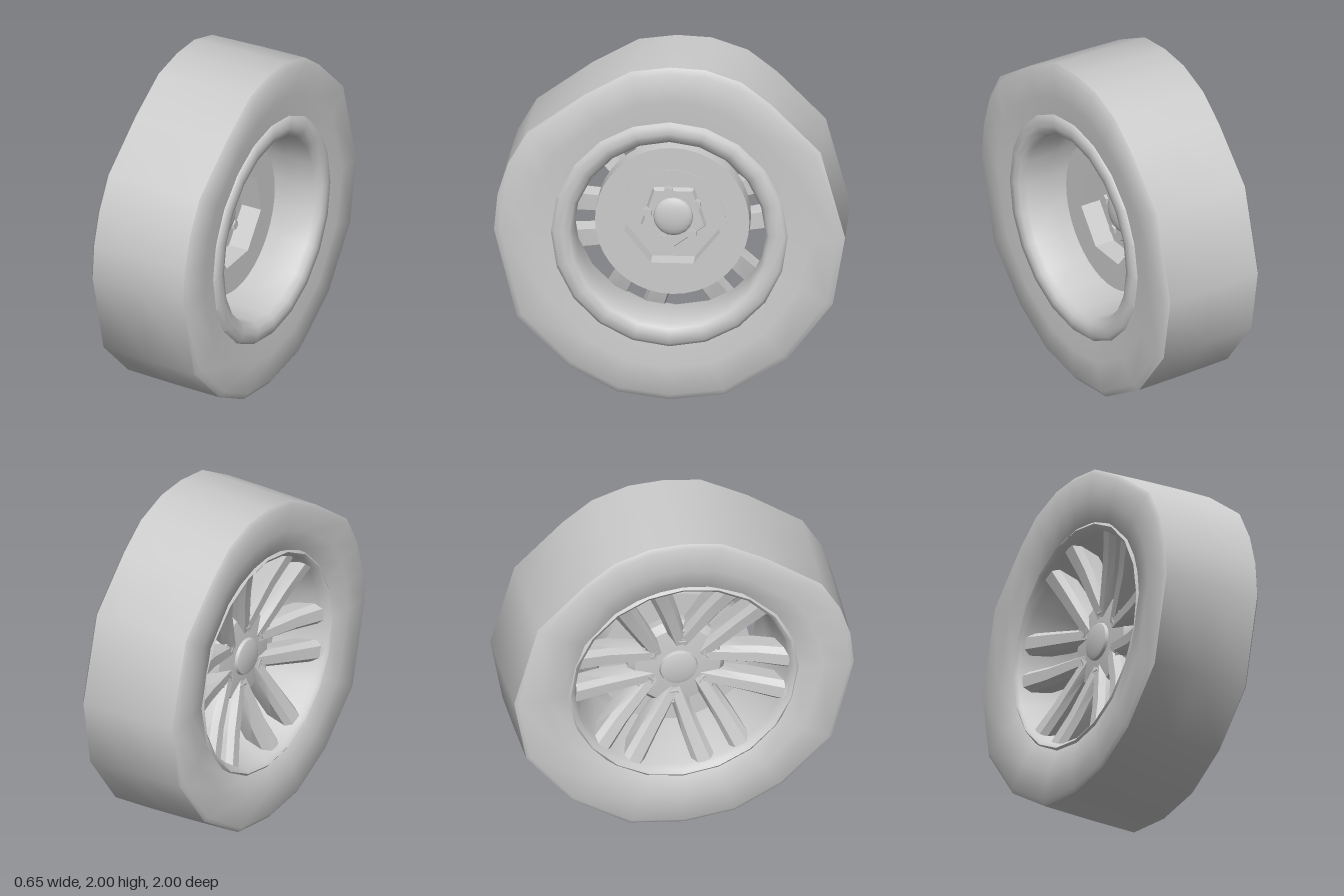
import * as THREE from 'three';
import { toCreasedNormals } from 'three/addons/utils/BufferGeometryUtils.js';

const grey = new THREE.MeshStandardMaterial({ color: 0xcccccc, side: THREE.DoubleSide });

// The wheel is built around the z axis (hub back towards +z, spoke face towards -z), then turned.
function part(parent, name, geometry) {
  const mesh = new THREE.Mesh(geometry, grey);
  mesh.name = name;
  parent.add(mesh);
  return mesh;
}

// Skin through closed rings of [x, y, z] points
function loft(rings, crease) {
  const n = rings[0].length;
  const index = [];
  for (let i = 0; i < rings.length - 1; i++) {
    for (let j = 0; j < n; j++) {
      const k = (j + 1) % n;
      const a = i * n + j, b = i * n + k, c = a + n, d = b + n;
      index.push(a, b, d, a, d, c);
    }
  }
  const g = new THREE.BufferGeometry();
  g.setAttribute('position', new THREE.Float32BufferAttribute(rings.flat(2), 3));
  g.setIndex(index);
  return toCreasedNormals(g, crease);
}

// Turned part from [radius, z] points
function turned(points, sides, crease = 0.7) {
  const g = new THREE.LatheGeometry(points.map(([r, z]) => new THREE.Vector2(r, z)), sides);
  g.rotateX(Math.PI / 2);
  return toCreasedNormals(g, crease);
}

// Flat ring with a round or polygonal hole
function plate(outer, inner, holeSides, z0, z1, turn = 0) {
  const shape = new THREE.Shape().absarc(0, 0, outer, 0, Math.PI * 2);
  const corners = [];
  for (let i = 0; i < holeSides; i++) {
    const a = turn - (i / holeSides) * Math.PI * 2;
    corners.push(new THREE.Vector2(Math.cos(a) * inner, Math.sin(a) * inner));
  }
  shape.holes.push(new THREE.Path(corners));
  const g = new THREE.ExtrudeGeometry(shape, { depth: z1 - z0, bevelEnabled: false, curveSegments: 20 });
  return toCreasedNormals(g.translate(0, 0, z0), 0.5);
}

function prism(radius, sides, z0, z1, topRadius = radius) {
  const g = new THREE.CylinderGeometry(topRadius, radius, z1 - z0, sides);
  g.rotateX(Math.PI / 2).translate(0, 0, (z0 + z1) / 2);
  return toCreasedNormals(g, 0.4);
}

export function createModel() {
  const model = new THREE.Group();
  model.name = 'wheel';
  const wheel = new THREE.Group();
  wheel.name = 'wheelAssembly';
  wheel.rotation.y = Math.PI / 2;
  wheel.position.y = 1;
  model.add(wheel);

  // Tyre: uneven faceted outline, blended to a circle towards the rim
  const outline = [
    [1, 0], [0.86, 0.51], [0.58, 0.79], [0.41, 0.92], [0.2, 0.99], [0, 1], [-0.22, 0.97],
    [-0.49, 0.82], [-0.81, 0.59], [-0.92, 0.4], [-0.98, 0.21], [-1, 0], [-0.87, -0.52],
    [-0.58, -0.81], [-0.3, -0.96], [0, -1], [0.32, -0.96], [0.67, -0.74], [0.93, -0.4],
  ];
  // [radius, z, share of the uneven outline]
  const tyreProfile = [
    [0.64, -0.27, 0], [0.675, -0.3, 0], [0.8, -0.32, 0.5], [0.96, -0.325, 1], [0.985, -0.308, 1],
    [0.995, 0, 1], [1, 0.29, 1], [0.965, 0.314, 1], [0.8, 0.314, 0.5], [0.64, 0.3, 0],
  ];
  part(wheel, 'tyre', loft(tyreProfile.map(([r, z, share]) => outline.map(([x, y]) => {
    const length = Math.hypot(x, y);
    const k = (r * (1 + (length - 1) * share)) / length;
    return [x * k, y * k, z];
  })), 0.9));

  // Rim: rolled inner lip, barrel, thin outer flange
  part(wheel, 'rim', turned([
    [0.675, 0.28], [0.675, 0.305], [0.655, 0.322], [0.61, 0.325], [0.57, 0.315], [0.548, 0.28],
    [0.55, 0.1], [0.575, -0.1], [0.62, -0.25], [0.635, -0.29], [0.655, -0.305], [0.675, -0.29],
  ], 20, 0.9));

  // Spoke: cross-sections along its length as [distance, offset, half width, face z, back z]
  const spokeSections = [
    [0.1, 0.07, 0.045, -0.14, -0.05], [0.25, 0.085, 0.05, -0.175, -0.05],
    [0.43, 0.103, 0.058, -0.215, -0.07], [0.61, 0.115, 0.066, -0.27, -0.13],
  ];
  const spokeGeometry = (side) => loft(spokeSections.map(([u, offset, w, face, back]) => [
    [-0.8 * w, back], [0.8 * w, back], [w, face + 0.035],
    [0.55 * w, face], [-0.55 * w, face], [-w, face + 0.035],
  ].map(([t, z]) => [side * offset + t, u, z])), 0.7);
  const spokes = [spokeGeometry(-1), spokeGeometry(1)];

  // Six pairs of parallel spokes with a recessed wheel nut between each two pairs
  for (let i = 0; i < 6; i++) {
    const angle = THREE.MathUtils.degToRad(7.5 + i * 60);
    const pair = new THREE.Group();
    pair.name = 'spokePair';
    pair.rotation.z = angle - Math.PI / 2;
    spokes.forEach((g) => part(pair, 'spoke', g));
    wheel.add(pair);

    const lug = new THREE.Group();
    lug.name = 'wheelNut';
    lug.position.set(Math.cos(angle + Math.PI / 6) * 0.21, Math.sin(angle + Math.PI / 6) * 0.21, -0.145);
    part(lug, 'nutSeat', new THREE.TorusGeometry(0.043, 0.013, 6, 6));
    part(lug, 'nut', prism(0.024, 6, -0.012, 0.03));
    wheel.add(lug);
  }

  // Hub body with dished face, and centre cap
  part(wheel, 'hub', turned([
    [0, -0.04], [0.28, -0.04], [0.285, -0.09], [0.25, -0.135], [0.13, -0.15], [0, -0.15],
  ].reverse(), 24));
  part(wheel, 'centreCap', turned([
    [0, -0.178], [0.08, -0.176], [0.105, -0.168], [0.115, -0.14],
  ], 20));

  // Brake drum with a polygonal recess and a slightly raised inner ring
  part(wheel, 'brakeDrum', plate(0.44, 0.3, 24, -0.05, 0.08));
  part(wheel, 'drumInnerRing', plate(0.308, 0.28, 7, -0.04, 0.084, Math.PI / 2));

  // Axle end inside the recess: five-sided boss, small studs and a domed cap
  part(wheel, 'axleBoss', prism(0.2, 5, -0.045, -0.005, 0.185));
  for (let i = 0; i < 5; i++) {
    const a = (i / 5) * Math.PI * 2 + 0.5;
    part(wheel, 'axleStud', prism(0.028, 6, -0.03, 0.012)).position.set(Math.cos(a) * 0.15, Math.sin(a) * 0.15, 0);
  }
  const dome = new THREE.SphereGeometry(0.113, 20, 10);
  dome.scale(1, 1, 0.3);
  part(wheel, 'axleCap', dome);

  return model;
}
